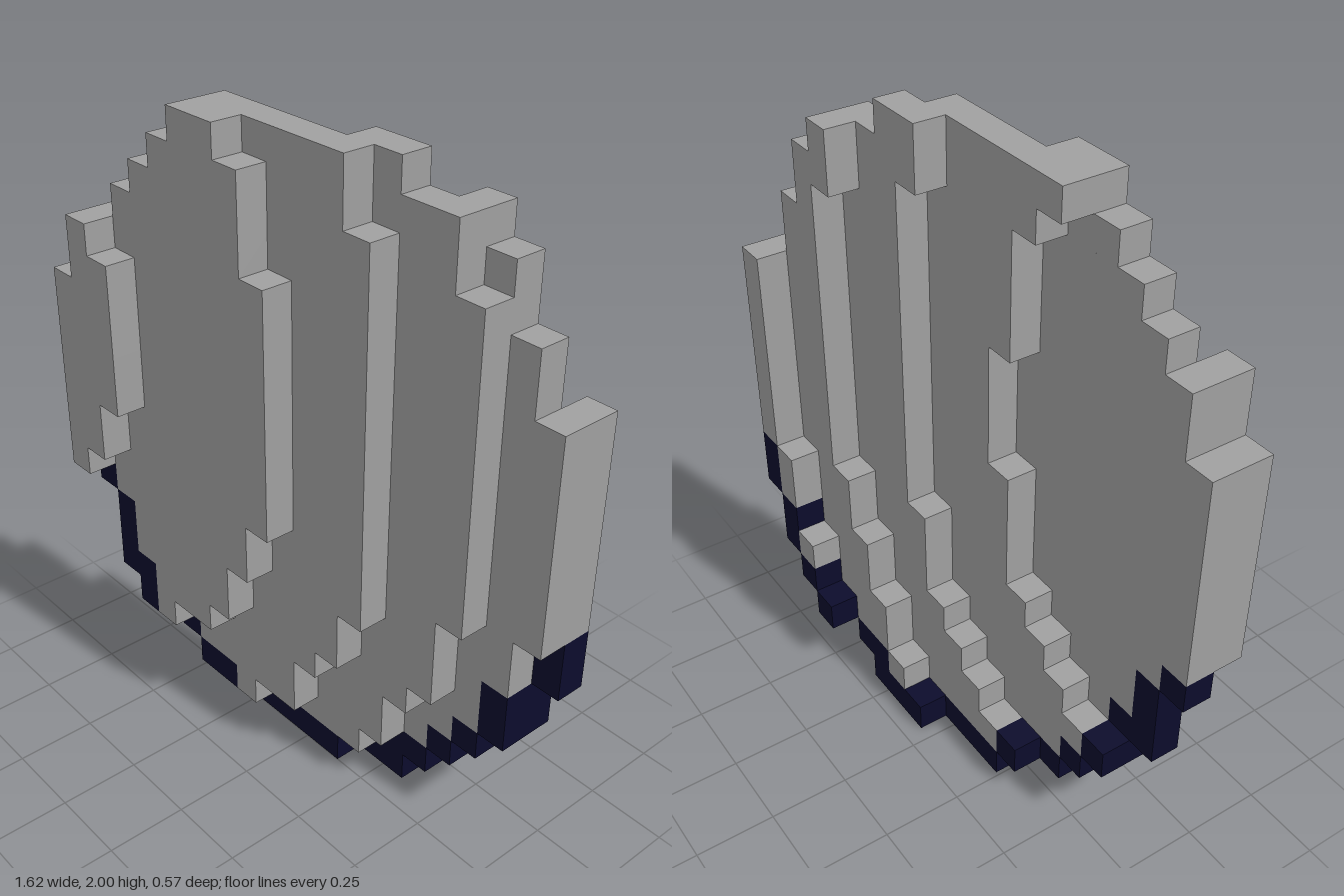
import * as THREE from 'three';
import { mergeGeometries } from 'three/addons/utils/BufferGeometryUtils.js';

// Voxel grid: columns along x, rows along y, layers from front to back
const COLS = 17, ROWS = 21, LAYERS = 6, S = 2 / ROWS;

// Stepped curve: starts at a column and moves one column by `step`
// below each row in `below` and above each row in `above`
const stair = (column, step, below, above) => (row) =>
  column + step * (below.filter((r) => row < r).length + above.filter((r) => row > r).length);

// Outline of the whole disc
const outlineMin = stair(0, 1, [7, 4, 3, 2, 1, 1], [14, 16, 17, 18, 19]);
const outlineMax = stair(16, -1, [6, 4, 3, 2, 1], [14, 16, 18, 19, 19]);

// Inside of the dark rim along the lower edge
const rimMin = stair(0, 1, [8, 7, 5, 3, 2, 2], []);
const rimMax = stair(16, -1, [8, 6, 4, 3, 2, 2], []);

// Where each layer ends on the front side and begins on the back side
const frontSteps = [
  stair(2, -1, [11, 9, 8], [15]),
  stair(8, -1, [9, 7, 5, 4, 4, 3], [16, 19]),
  stair(11, -1, [7, 5, 4, 2, 2, 1], [18]),
  stair(14, -1, [8, 5, 4, 2, 1], [17]),
  stair(16, -1, [8], []),
  outlineMax,
];
const backSteps = [
  outlineMin,
  outlineMin,
  stair(8, -1, [11, 7, 6, 5, 4, 4], [14, 18, 19]),
  stair(11, -1, [8, 5, 4, 3, 2, 2], [18]),
  stair(14, -1, [8, 6, 4, 2, 1], [17]),
  stair(16, -1, [8, 5, 3], []),
];

// Box covering columns c0 to c1 of one row in one layer
function block(row, layer, c0, c1) {
  return new THREE.BoxGeometry((c1 - c0 + 1) * S, S, S).translate(
    ((c0 + c1 + 1 - COLS) / 2) * S,
    (row + 0.5) * S,
    ((LAYERS - 1) / 2 - layer) * S,
  );
}

export function createModel() {
  const model = new THREE.Group();
  model.name = 'steppedDisc';
  const grey = new THREE.MeshStandardMaterial({ color: 0xa0a0a0 });
  grey.name = 'stone grey';
  const navy = new THREE.MeshStandardMaterial({ color: 0x0c0c2c });
  navy.name = 'dark navy';

  const addPart = (name, blocks, material) => {
    if (!blocks.length) return;
    const mesh = new THREE.Mesh(mergeGeometries(blocks), material);
    mesh.name = name;
    model.add(mesh);
  };

  // One grey plate and its dark lower rim per layer
  for (let layer = 0; layer < LAYERS; layer++) {
    const plate = [], rim = [];
    for (let row = 0; row < ROWS; row++) {
      const min = Math.max(outlineMin(row), backSteps[layer](row));
      const max = Math.min(outlineMax(row), frontSteps[layer](row));
      const isGrey = (c) => row > 0 && c >= rimMin(row) && c <= rimMax(row);
      // Join neighbouring cells of the same colour into one block
      for (let start = min, c = min; c <= max; c++) {
        if (c < max && isGrey(c + 1) === isGrey(start)) continue;
        (isGrey(start) ? plate : rim).push(block(row, layer, start, c));
        start = c + 1;
      }
    }
    addPart(`discPlate${layer + 1}`, plate, grey);
    addPart(`lowerRim${layer + 1}`, rim, navy);
  }
  return model;
}
